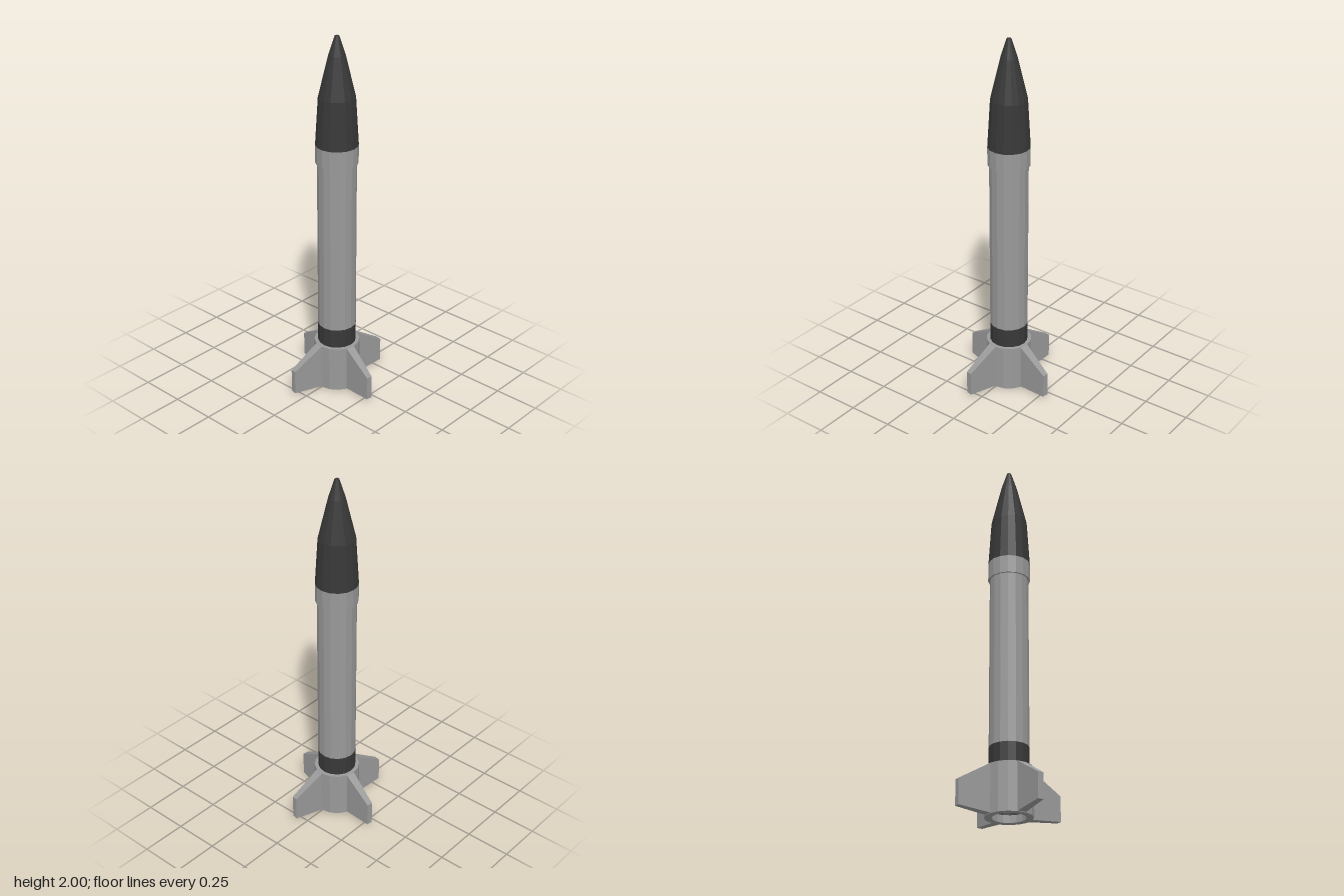
import * as THREE from 'three';

const SIDES = 16;

export function createModel() {
  const grey = new THREE.MeshStandardMaterial({ color: 0x999999, flatShading: true });
  grey.name = 'light grey';
  const dark = new THREE.MeshStandardMaterial({ color: 0x383838, flatShading: true });
  dark.name = 'charcoal';

  const rocket = new THREE.Group();
  rocket.name = 'rocket';

  // Faceted part turned from [radius, height] pairs
  const turned = (name, profile, material) => {
    const points = profile.map(([r, y]) => new THREE.Vector2(r, y));
    const mesh = new THREE.Mesh(new THREE.LatheGeometry(points, SIDES), material);
    mesh.name = name;
    rocket.add(mesh);
  };

  turned('noseCone', [[0.113, 1.42], [0.097, 1.68], [0.044, 1.9], [0.012, 2], [0, 2]], dark);
  turned('noseCollar', [[0.103, 1.32], [0.113, 1.32], [0.113, 1.42]], grey);
  turned('body', [[0.104, 0.368], [0.104, 1.33]], grey);
  turned('bodyBand', [[0.104, 0.25], [0.104, 0.368]], dark);
  turned('tailCollar', [[0.088, 0.04], [0.088, 0], [0.125, 0], [0.125, 0.26], [0.102, 0.26]], grey);

  // Recessed engine bay and nozzle
  turned('engineBay', [[0, 0.1], [0.088, 0.1], [0.088, 0.04]], dark);
  turned('nozzle', [[0.03, 0.1], [0.032, 0.05], [0.042, 0.05], [0.036, 0.1]], dark);

  // Tapered fin, narrower and shorter at the tip
  const finShape = new THREE.BoxGeometry(1, 1, 1);
  const pos = finShape.attributes.position;
  for (let i = 0; i < pos.count; i++) {
    const tip = pos.getX(i) > 0;
    const top = pos.getY(i) > 0;
    const side = Math.sign(pos.getZ(i));
    pos.setXYZ(
      i,
      tip ? 0.296 : 0.121,
      top ? (tip ? 0.155 : 0.26) : (tip ? 0.02 : 0.003),
      side * (tip ? 0.016 : 0.0243)
    );
  }
  finShape.computeVertexNormals();

  // Each fin grows from one flat of the tail collar
  for (let k = 0; k < 4; k++) {
    const fin = new THREE.Mesh(finShape, grey);
    fin.name = 'fin' + (k + 1);
    fin.rotation.y = -Math.PI / SIDES - (k * Math.PI) / 2;
    rocket.add(fin);
  }

  return rocket;
}
